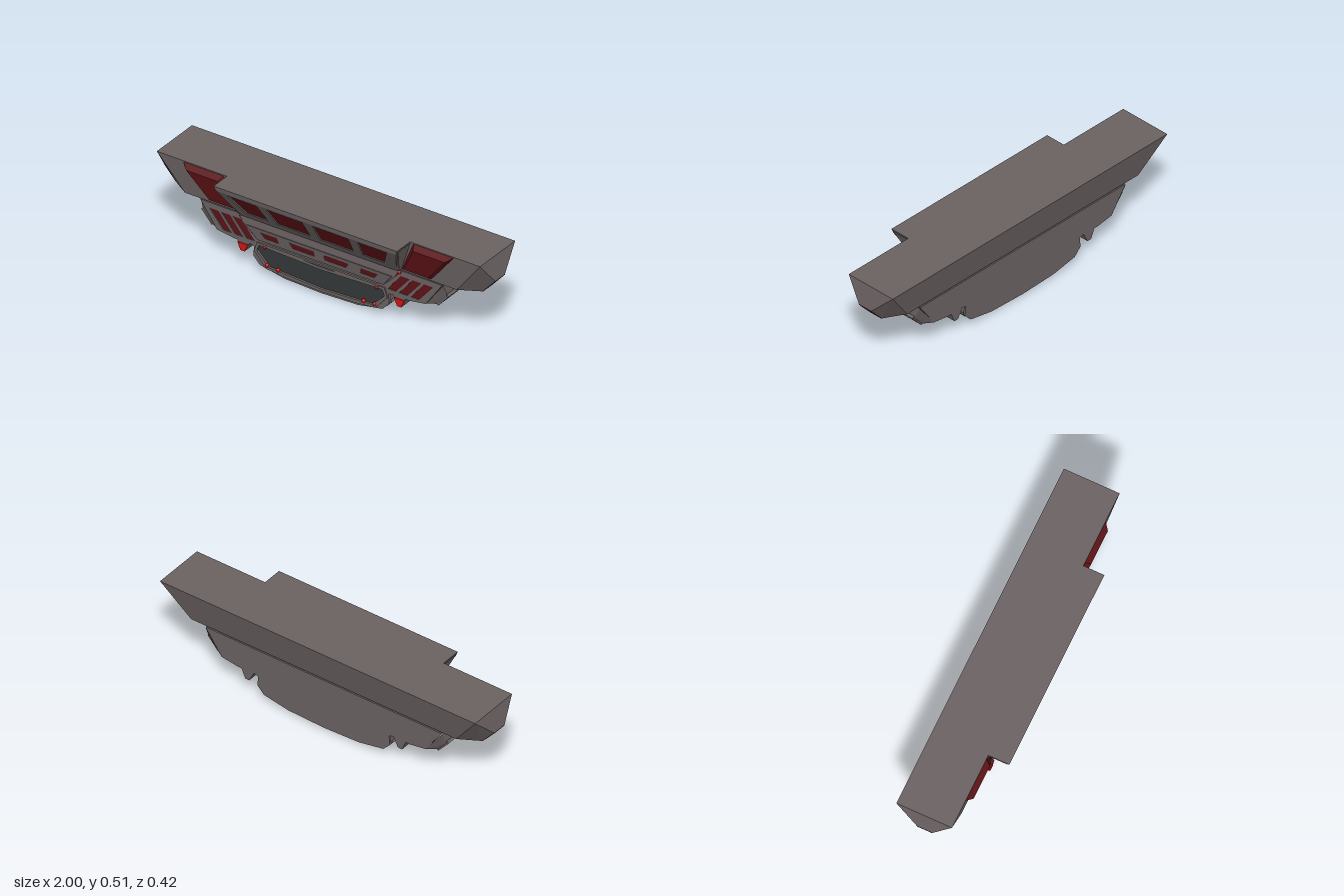
import * as THREE from 'three';
import { ConvexGeometry } from 'three/addons/geometries/ConvexGeometry.js';

const paint = (color) => new THREE.MeshStandardMaterial({ color, flatShading: true });
const GREY = paint(0x6a6161), DARK = paint(0x343838), RED = paint(0x5c1216), BRIGHT = paint(0xd01414);

// Complete a right-hand outline of (x, y) points into a closed symmetric one
const symmetric = (half) => [...half, ...half.slice().reverse().filter((p) => p[0] > 0).map(([x, y]) => [-x, y])];
const flip = (pts) => pts.map(([x, ...rest]) => [-x, ...rest]);
const vectors = (pts) => pts.map((p) => new THREE.Vector2(...p));

// Flat plate between z0 and z1, with optional holes and a slope rule z += rule(y)
function plate(outline, z0, z1, holes = [], rule = null) {
  const shape = new THREE.Shape(vectors(outline));
  shape.holes = holes.map((h) => new THREE.Path(vectors(h)));
  const g = new THREE.ExtrudeGeometry(shape, { depth: z1 - z0, bevelEnabled: false }).translate(0, 0, z0);
  if (rule) {
    const p = g.attributes.position;
    for (let i = 0; i < p.count; i++) p.setZ(i, p.getZ(i) + rule(p.getY(i)));
    g.computeVertexNormals();
  }
  return g;
}

const solid = (pts) => new ConvexGeometry(pts.map((p) => new THREE.Vector3(...p)));
const solidBoth = (pts) => solid([...pts, ...flip(pts)]);

// Mirrored copy in x, with the triangle winding corrected
function mirrored(geometry) {
  const g = (geometry.index ? geometry.toNonIndexed() : geometry.clone()).scale(-1, 1, 1);
  const p = g.attributes.position, a = new THREE.Vector3(), b = new THREE.Vector3();
  for (let i = 0; i < p.count; i += 3) {
    a.fromBufferAttribute(p, i + 1);
    b.fromBufferAttribute(p, i + 2);
    p.setXYZ(i + 1, b.x, b.y, b.z);
    p.setXYZ(i + 2, a.x, a.y, a.z);
  }
  g.computeVertexNormals();
  return g;
}

const rect = (x0, y0, x1, y1) => [[x0, y0], [x1, y0], [x1, y1], [x0, y1]];

// Matrix laying a local plate on the surface running from p to q (outward is to its right)
function onSurface(p, q) {
  const u = new THREE.Vector3(q[0] - p[0], q[1] - p[1], 0).normalize();
  const v = new THREE.Vector3(0, 0, 1);
  return new THREE.Matrix4().makeBasis(u, v, u.clone().cross(v)).setPosition(p[0], p[1], 0);
}

export function createModel() {
  const model = new THREE.Group();
  model.name = 'ship';
  const add = (name, geometry, material) => {
    const mesh = new THREE.Mesh(geometry, material);
    mesh.name = name;
    model.add(mesh);
  };
  const addPair = (name, geometry, material) => {
    add(name + 'Left', geometry, material);
    add(name + 'Right', mirrored(geometry), material);
  };
  // Framed red panel on a side or underside; rim is the frame width, lens the bulge height
  const sidePanel = (name, p, q, z0, z1, rim, height, lens) => {
    const m = onSurface(p, q), len = Math.hypot(q[0] - p[0], q[1] - p[1]);
    if (rim > 0) {
      const outer = rect(-rim, z0 - rim, len + rim, z1 + rim);
      addPair(name + 'Frame', plate(outer, -0.02, height, [rect(0, z0, len, z1)]).applyMatrix4(m), GREY);
    }
    const s = lens > 0.01 ? 0.02 : 0;
    const pts = [...rect(0, z0, len, z1).map(([x, y]) => [x, y, -0.02]),
      ...rect(s, z0 + s, len - s, z1 - s).map(([x, y]) => [x, y, lens])];
    addPair(name, solid(pts).applyMatrix4(m), RED);
  };

  // Upper hull, flaring out to pointed ends
  add('upperHull', solidBoth([
    [0.975, 0.51, 0.095], [0.975, 0.51, -0.21], [1, 0.387, 0], [1, 0.387, -0.085],
    [0.925, 0.304, 0], [0.925, 0.304, -0.085], [0.82, 0.314, 0.075], [0.82, 0.314, -0.16],
  ]), GREY);
  sidePanel('tipPanel', [0.925, 0.304], [1, 0.387], -0.085, 0, 0, 0, 0.002);

  // Raised red shoulder panels
  addPair('shoulderPanel', solid([
    [0.57, 0.508, 0.09], [0.82, 0.508, 0.09], [0.67, 0.322, 0.07], [0.485, 0.322, 0.07],
    [0.59, 0.48, 0.122], [0.78, 0.48, 0.122], [0.66, 0.335, 0.093], [0.51, 0.335, 0.093],
  ]), RED);

  // Overhanging bridge with a row of sloped windows
  const bridgeZ = (y) => 0.095 + (y - 0.315) * 0.647;
  add('bridge', solidBoth([
    [0.545, 0.49, bridgeZ(0.49) - 0.014], [0.545, 0.49, 0.05],
    [0.46, 0.316, bridgeZ(0.316) - 0.014], [0.46, 0.316, 0.05],
  ]), GREY);
  add('bridgeLip', solidBoth([
    [0.553, 0.51, 0.21], [0.553, 0.51, 0.05], [0.545, 0.484, 0.205], [0.545, 0.484, 0.05],
  ]), GREY);
  const big = [
    [[0.03, 0.355], [0.23, 0.355], [0.25, 0.47], [0.03, 0.47]],
    [[0.285, 0.355], [0.415, 0.355], [0.48, 0.47], [0.305, 0.47]],
  ];
  const bridgeHoles = [...big, ...big.map(flip)];
  add('bridgeFrame', plate(symmetric([[0.47, 0.315], [0.545, 0.485]]), -0.018, 0, bridgeHoles, bridgeZ), GREY);
  bridgeHoles.forEach((h) => add('bridgeWindow', plate(h, -0.016, -0.008, [], bridgeZ), RED));
  addPair('bridgeRail', solid([
    [0.535, 0.5, 0.203], [0.553, 0.5, 0.2], [0.553, 0.5, 0.08], [0.535, 0.5, 0.08],
    [0.46, 0.316, 0.096], [0.485, 0.316, 0.092], [0.485, 0.316, 0.06], [0.46, 0.316, 0.06],
  ]), GREY);

  // Middle deck with small windows
  const deckZ = (y) => 0.08 + (y - 0.195) * 0.2;
  add('middleDeck', solidBoth([
    [0.48, 0.315, 0.09], [0.46, 0.275, 0.093], [0.385, 0.195, 0.074],
    [0.48, 0.315, 0.03], [0.46, 0.275, 0.03], [0.385, 0.195, 0.03],
  ]), GREY);
  const small = [
    [[0.03, 0.22], [0.16, 0.22], [0.18, 0.252], [0.03, 0.252]],
    [[0.245, 0.22], [0.33, 0.22], [0.355, 0.252], [0.255, 0.252]],
  ];
  const deckHoles = [...small, ...small.map(flip)];
  add('deckFrame', plate(symmetric([[0.38, 0.195], [0.44, 0.27]]), -0.012, 0, deckHoles, deckZ), GREY);
  deckHoles.forEach((h) => add('deckWindow', plate(h, -0.012, -0.002, [], deckZ), RED));
  add('deckLedge', new THREE.BoxGeometry(0.7, 0.009, 0.03).translate(0, 0.177, 0.067), GREY);

  // Lower hull: a core between a front and a back face plate
  const outline = symmetric([
    [0, 0.012], [0.22, 0.02], [0.37, 0.048], [0.41, 0.09], [0.405, 0.145], [0.43, 0.152],
    [0.53, 0.15], [0.63, 0.165], [0.73, 0.306],
  ]);
  const core = outline.map(([x, y]) => [x * 0.985, 0.306 + (y - 0.306) * 0.965]);
  add('lowerHull', plate(core, -0.155, 0.06), GREY);
  add('backPlate', plate(outline, -0.16, -0.148), GREY);
  const strips = [0.48, 0.55, 0.62].map((x) =>
    [[x - 0.08, 0.175], [x - 0.03, 0.175], [x + 0.055, 0.275], [x, 0.275]]);
  const cockpit = symmetric([[0, 0.04], [0.31, 0.055], [0.385, 0.13], [0.372, 0.163], [0, 0.15]]);
  add('frontPlate', plate(outline, 0.055, 0.071, [cockpit, ...strips, ...strips.map(flip)]), GREY);
  strips.forEach((s) => addPair('stripWindow', plate(s, 0.055, 0.066), RED));
  add('cockpitWindow', plate(cockpit, 0.055, 0.065), DARK);
  const rimOutline = symmetric([[0, 0.024], [0.2, 0.03], [0.33, 0.043], [0.402, 0.125], [0.385, 0.178], [0, 0.165]]);
  add('cockpitRim', plate(rimOutline, 0.06, 0.077, [cockpit]), GREY);

  // Side pods with tapered ends, kept just behind the strip windows
  addPair('sidePod', solid([
    [0.73, 0.3, 0.064], [0.73, 0.3, -0.16], [0.63, 0.165, 0.064], [0.63, 0.165, -0.16],
    [0.736, 0.245, 0.04], [0.736, 0.245, -0.128], [0.732, 0.225, 0.04], [0.732, 0.225, -0.128],
    [0.682, 0.168, 0.04], [0.682, 0.168, -0.128],
  ]), GREY);
  sidePanel('podPanel', [0.686, 0.173], [0.731, 0.224], -0.11, 0.025, 0.014, 0.008, 0.003);

  // Panels on the lower flank and under the belly
  sidePanel('flankPanel', [0.384, 0.066], [0.404, 0.088], -0.125, 0.04, 0.008, 0.004, 0.002);
  sidePanel('bellyPanel', [0.065, 0.0175], [0.215, 0.024], -0.085, 0, 0.028, 0.01, 0.018);

  // Keel fins with bright red front caps
  const fin = [[0.46, 0.097], [0.485, 0.097], [0.512, 0.16], [0.428, 0.16]];
  addPair('keelFin', plate(fin, -0.16, 0.07), GREY);
  addPair('finCap', plate([[0.46, 0.097], [0.485, 0.097], [0.503, 0.14], [0.44, 0.14]], 0.065, 0.075), BRIGHT);

  // Signal lights
  [[0.475, 0.3, 0.078], [0.337, 0.165, 0.074], [0.325, 0.063, 0.074], [0.258, 0.058, 0.074]].forEach(([x, y, z]) =>
    addPair('signalLight', new THREE.SphereGeometry(0.011, 12, 8).translate(x, y, z), BRIGHT));

  return model;
}
